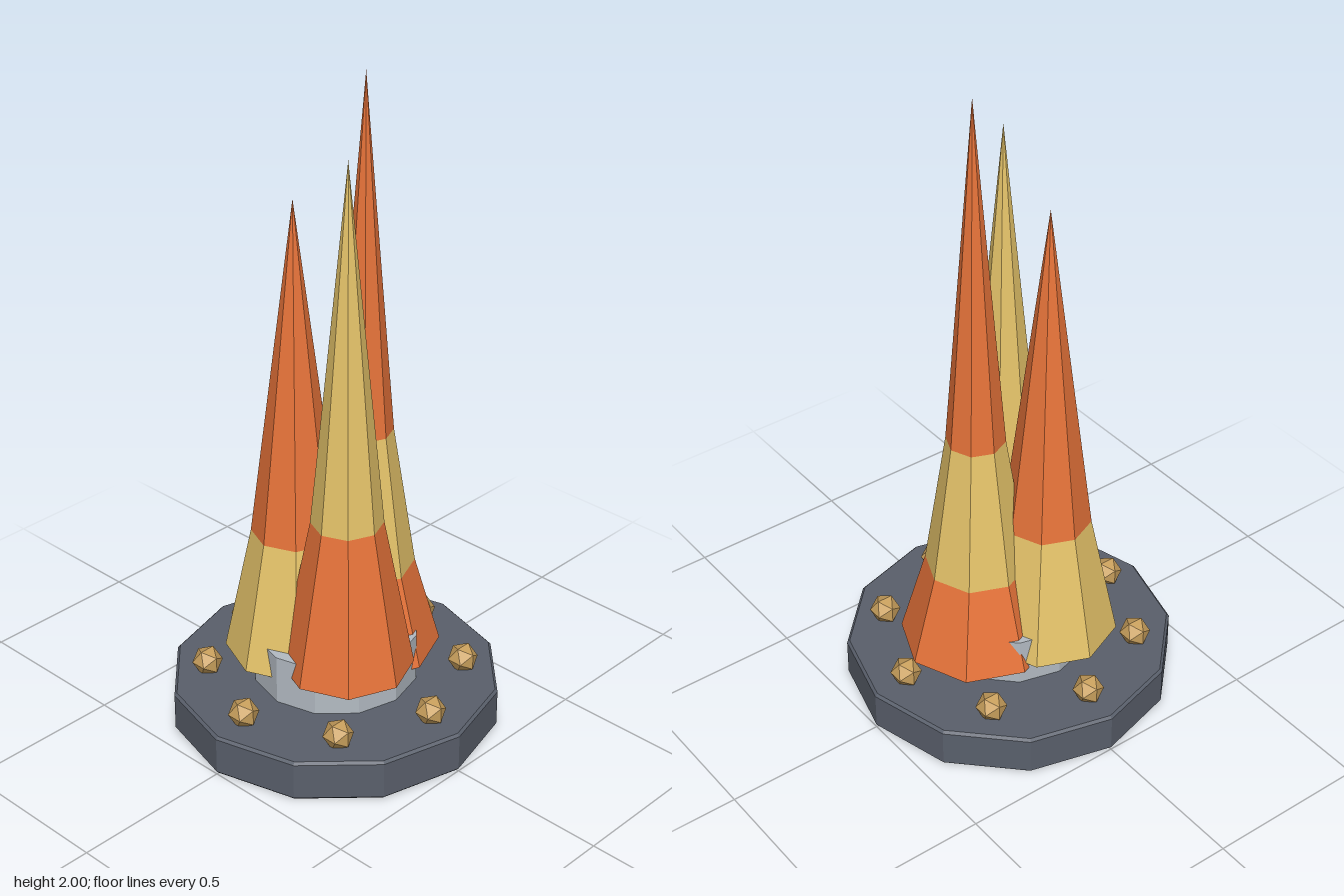
import * as THREE from 'three';

const paint = (color) => new THREE.MeshStandardMaterial({ color, flatShading: true });
const orange = paint(0xe8743a);
const yellow = paint(0xe6c46a);
const slate = paint(0x5a606c);
const silver = paint(0xb4bcc4);
const brass = paint(0xc89f5c);

// Faceted solid of revolution from [radius, height] pairs, bottom to top
function turned(name, profile, sides, material) {
  const points = profile.map(([r, y]) => new THREE.Vector2(r, y));
  const mesh = new THREE.Mesh(new THREE.LatheGeometry(points, sides), material);
  mesh.name = name;
  return mesh;
}

// Eight-sided spike; each pair of neighbouring rings is one coloured band
function spike(name, x, z, rings, materials) {
  const group = new THREE.Group();
  group.name = name;
  materials.forEach((material, i) => {
    const profile = [rings[i], rings[i + 1]];
    if (i === 0) profile.unshift([0, rings[0][1]]); // closed underside
    group.add(turned(`${name}Band${i + 1}`, profile, 8, material));
  });
  group.position.set(x, 0, z);
  return group;
}

export function createModel() {
  const model = new THREE.Group();
  model.name = 'spikeCluster';

  // Twelve-sided plinth with a small bevel
  model.add(turned('base', [
    [0, 0], [0.492, 0], [0.5, 0.008], [0.5, 0.122], [0.492, 0.13], [0, 0.13],
  ], 12, slate));

  // Metal collar holding the spikes
  model.add(turned('collar', [
    [0, 0.125], [0.25, 0.125], [0.25, 0.285], [0, 0.285],
  ], 12, silver));

  // Three banded spikes
  model.add(spike('tallSpike', 0.12, 0,
    [[0.235, 0.18], [0.156, 0.46], [0.088, 0.905], [0, 2]], [orange, yellow, orange]));
  model.add(spike('frontSpike', -0.06, 0.105,
    [[0.2, 0.23], [0.107, 0.71], [0, 1.82]], [orange, yellow]));
  model.add(spike('backSpike', -0.06, -0.105,
    [[0.215, 0.2], [0.132, 0.6], [0, 1.65]], [yellow, orange]));

  // Ring of faceted studs
  const studShape = new THREE.IcosahedronGeometry(0.047, 0);
  for (let i = 0; i < 8; i++) {
    const angle = (i / 8) * Math.PI * 2;
    const stud = new THREE.Mesh(studShape, brass);
    stud.name = `stud${i + 1}`;
    stud.position.set(Math.sin(angle) * 0.387, 0.16, Math.cos(angle) * 0.387);
    model.add(stud);
  }
  return model;
}
